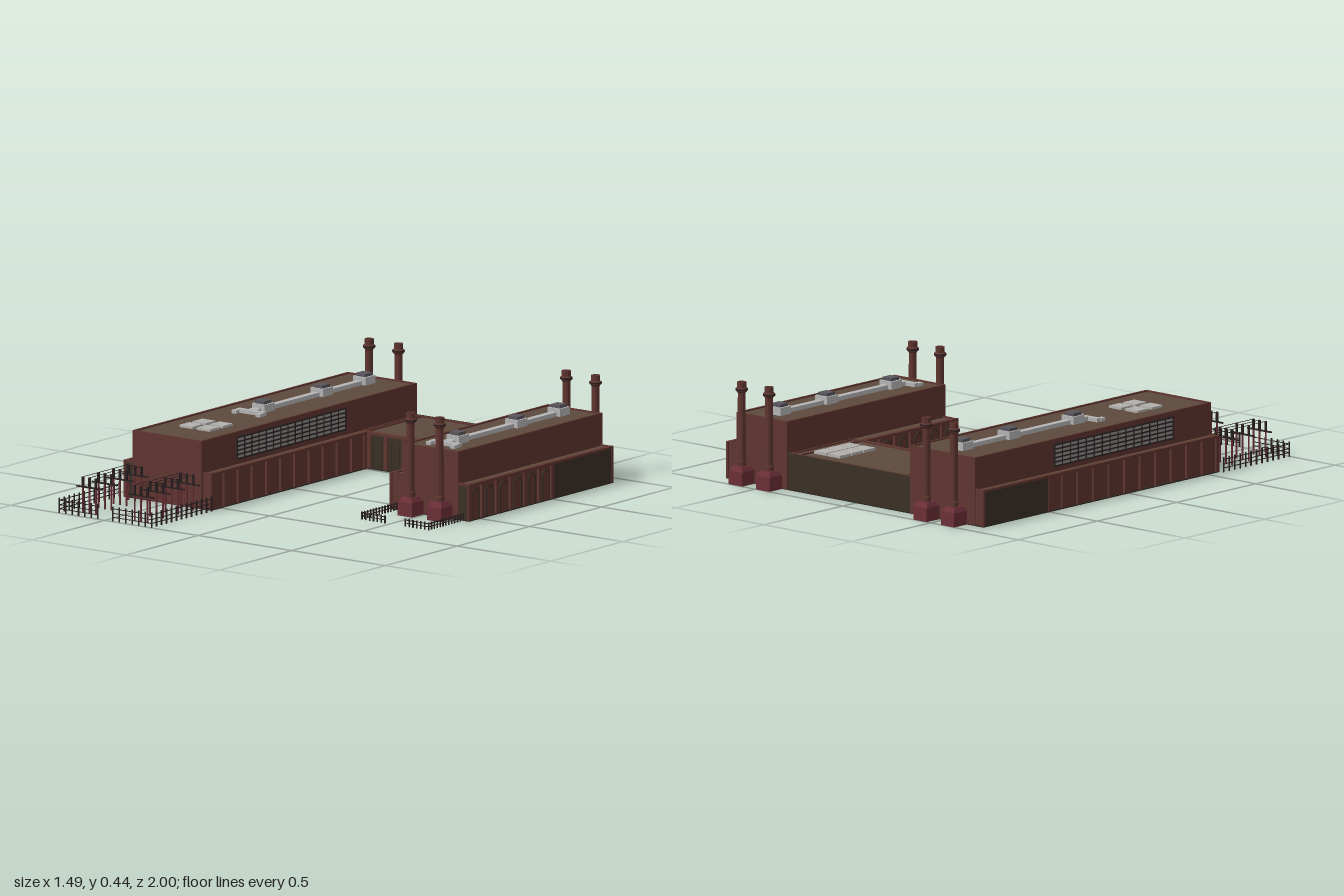
import * as THREE from 'three';

const mat = (color, extra = {}) => new THREE.MeshStandardMaterial({ color, ...extra });

export function createModel() {
  const brick = mat(0x5f352f), roofing = mat(0x5c4a3c), dark = mat(0x3a3026), plinthRed = mat(0x6b2f38);
  const grey = mat(0xb4b4b4), capGrey = mat(0x58555c), iron = mat(0x2b2022), under = mat(0x2c2520);
  const glass = mat(0x8c8a88), skylightGlass = mat(0xb2b0ac);
  const model = new THREE.Group();
  model.name = 'powerStation';

  const group = (name, parent = model) => {
    const g = new THREE.Group();
    g.name = name;
    parent.add(g);
    return g;
  };
  const add = (parent, name, geo, m, x = 0, y = 0, z = 0) => {
    const mesh = new THREE.Mesh(geo, m);
    mesh.name = name;
    mesh.position.set(x, y, z);
    parent.add(mesh);
    return mesh;
  };
  // box given by its extents
  const block = (parent, name, m, x0, x1, y0, y1, z0, z1) =>
    add(parent, name, new THREE.BoxGeometry(x1 - x0, y1 - y0, z1 - z0), m, (x0 + x1) / 2, (y0 + y1) / 2, (z0 + z1) / 2);

  // brick volume with a sunken roof inside a thin parapet
  function hall(name, x0, x1, y0, y1, z0, z1) {
    const g = group(name), t = 0.01, r = y1 - 0.006;
    block(g, 'walls', brick, x0, x1, y0, r - 0.002, z0, z1);
    block(g, 'roof', roofing, x0 + t, x1 - t, r - 0.002, r, z0 + t, z1 - t);
    block(g, 'parapet', brick, x0, x0 + t, r - 0.002, y1, z0, z1);
    block(g, 'parapet', brick, x1 - t, x1, r - 0.002, y1, z0, z1);
    block(g, 'parapet', brick, x0 + t, x1 - t, r - 0.002, y1, z0, z0 + t);
    block(g, 'parapet', brick, x0 + t, x1 - t, r - 0.002, y1, z1 - t, z1);
    return g;
  }
  hall('longWingBase', -0.72, -0.27, 0.003, 0.16, -0.915, 0.565);
  hall('longWingUpper', -0.68, -0.31, 0.003, 0.295, -0.92, 0.573);
  hall('shortWingBase', 0.325, 0.73, 0.003, 0.16, -0.915, 0.075);
  hall('shortWingUpper', 0.39, 0.68, 0.003, 0.295, -0.92, 0.08);
  hall('linkHall', -0.3, 0.38, 0.003, 0.16, -0.91, -0.52);
  const ground = group('foundation');
  block(ground, 'slab', under, -0.73, -0.26, 0, 0.004, -0.92, 0.57);
  block(ground, 'slab', under, 0.315, 0.74, 0, 0.004, -0.92, 0.08);
  block(ground, 'slab', under, -0.26, 0.315, 0, 0.004, -0.92, -0.51);

  // arched outline standing on the ground
  function archPath(Type, w, h) {
    const p = new Type();
    p.moveTo(-w / 2, 0);
    p.lineTo(w / 2, 0);
    p.lineTo(w / 2, h - w / 2);
    p.absarc(0, h - w / 2, w / 2, 0, Math.PI, false);
    p.closePath();
    return p;
  }
  const frameShape = archPath(THREE.Shape, 0.052, 0.132);
  frameShape.holes.push(archPath(THREE.Path, 0.04, 0.126));
  const frameGeo = new THREE.ExtrudeGeometry(frameShape, { depth: 0.006, bevelEnabled: false, curveSegments: 8 });
  const infillGeo = new THREE.ShapeGeometry(archPath(THREE.Shape, 0.041, 0.127), 8);

  // row of bays between pilasters; runs along local x and faces local z
  function bayWall(name, x, z, turn, length, count, { arches = false, panel = null } = {}) {
    const g = group(name), step = length / count;
    g.position.set(x, 0, z);
    g.rotation.y = turn;
    if (panel) block(g, 'panel', panel, 0, length, 0.004, 0.15, 0, 0.002);
    for (let i = 0; i <= count; i++) {
      const c = THREE.MathUtils.clamp(i * step, 0.009, length - 0.009);
      block(g, 'pilaster', brick, c - 0.009, c + 0.009, 0.002, 0.15, 0, 0.01);
      if (arches && i < count) {
        add(g, 'archFrame', frameGeo, dark, (i + 0.5) * step, 0.004, 0);
        add(g, 'archInfill', infillGeo, panel || brick, (i + 0.5) * step, 0.004, 0.003);
      }
    }
    block(g, 'cornice', brick, 0, length, 0.149, 0.16, 0, 0.01);
    return g;
  }
  const q = Math.PI / 2;
  bayWall('longWingInnerBays', -0.27, 0.57, q, 1.08, 11);
  bayWall('longWingOuterBays', -0.72, -0.51, -q, 1.08, 11);
  bayWall('shortWingOuterBays', 0.73, 0.08, q, 0.59, 6, { arches: true });
  bayWall('shortWingInnerBays', 0.325, -0.51, -q, 0.59, 6, { arches: true });
  bayWall('linkFrontBays', -0.26, -0.52, 0, 0.575, 6, { arches: true, panel: dark });

  // dark blank panels at the rear and on the aisle ends
  const blanks = group('blankPanels');
  for (const [x0, x1] of [[-0.728, -0.719], [0.729, 0.738]]) {
    block(blanks, 'sidePanel', dark, x0, x1, 0.004, 0.15, -0.91, -0.51);
    block(blanks, 'sideCornice', brick, x0 - 0.002, x1 + 0.002, 0.15, 0.16, -0.92, -0.51);
    block(blanks, 'sideCorner', brick, x0 - 0.002, x1 + 0.002, 0.003, 0.15, -0.92, -0.908);
  }
  block(blanks, 'rearPanel', dark, -0.31, 0.39, 0.004, 0.15, -0.916, -0.909);
  block(blanks, 'rearCornice', dark, -0.31, 0.39, 0.15, 0.16, -0.92, -0.909);
  block(blanks, 'aisleEnd', dark, -0.718, -0.682, 0.004, 0.15, 0.56, 0.568);
  block(blanks, 'aisleEnd', dark, 0.685, 0.728, 0.004, 0.15, 0.07, 0.078);

  // long strip windows on both sides of the long wing
  for (const [x, s] of [[-0.31, 1], [-0.68, -1]]) {
    const g = group('stripWindow');
    g.position.set(x, 0, -0.045);
    g.rotation.y = s * q;
    block(g, 'panes', glass, -0.375, 0.375, 0.178, 0.27, 0, 0.002);
    for (let i = 0; i <= 5; i++) block(g, 'glazingBar', iron, -0.378, 0.378, 0.175 + i * 0.0184, 0.181 + i * 0.0184, 0, 0.005);
    for (let i = 0; i <= 15; i++) block(g, 'mullion', iron, -0.377 + i * 0.05, -0.373 + i * 0.05, 0.176, 0.272, 0, 0.006);
  }

  // chimneys on chamfered plinths
  const plinthGeo = new THREE.CylinderGeometry(0.026 * Math.SQRT2, 0.038 * Math.SQRT2, 0.02, 4).rotateY(Math.PI / 4).toNonIndexed();
  plinthGeo.computeVertexNormals();
  const stackGeo = new THREE.LatheGeometry([
    [0.021, 0.06], [0.021, 0.1], [0.018, 0.105], [0.017, 0.395], [0.02, 0.4], [0.026, 0.405], [0.026, 0.414],
    [0.02, 0.42], [0.02, 0.443], [0.012, 0.443], [0.012, 0.4], [0, 0.4],
  ].map(([r, y]) => new THREE.Vector2(r, y)), 12).toNonIndexed();
  stackGeo.computeVertexNormals();
  const ringGeo = new THREE.CylinderGeometry(0.027, 0.027, 0.007, 12);
  for (const [x, z] of [[-0.597, -0.96], [-0.44, -0.96], [0.457, -0.96], [0.613, -0.96], [0.457, 0.12], [0.613, 0.12]]) {
    const g = group('chimney');
    g.position.set(x, 0, z);
    block(g, 'plinth', plinthRed, -0.038, 0.038, 0, 0.06, -0.04, 0.04);
    add(g, 'plinthTop', plinthGeo, plinthRed, 0, 0.07, 0);
    add(g, 'stack', stackGeo, brick);
    add(g, 'collar', ringGeo, iron, 0, 0.411, 0);
  }

  // roof ducts with vent boxes and a forked end
  for (const x of [-0.5, 0.54]) {
    const g = group('roofDuct');
    g.position.set(x, 0.289, 0);
    block(g, 'duct', grey, -0.015, 0.015, 0, 0.018, -0.8, -0.03);
    block(g, 'crossDuct', grey, -0.073, 0.073, 0, 0.016, -0.03, -0.005);
    for (const s of [-1, 1]) block(g, 'outlet', grey, s * 0.064 - 0.012, s * 0.064 + 0.012, 0, 0.014, -0.006, 0.022);
    block(g, 'junction', grey, -0.022, 0.022, 0, 0.018, -0.055, -0.03);
    for (const z of [-0.8, -0.505, -0.1]) {
      block(g, 'ventBox', grey, -0.034, 0.034, 0, 0.034, z - 0.034, z + 0.034);
      block(g, 'ventCap', capGrey, -0.025, 0.025, 0.034, 0.047, z - 0.025, z + 0.025);
    }
  }

  // skylights
  function skylight(xs, zs, y) {
    const g = group('skylight');
    for (const x of xs) for (const z of zs) block(g, 'pane', skylightGlass, x - 0.035, x + 0.035, y, y + 0.013, z - 0.035, z + 0.035);
  }
  skylight([-0.543, -0.45], [0.255, 0.345], 0.286);
  skylight([0.202, 0.28], [-0.798, -0.722, -0.645], 0.153);

  // railing along a polyline of [x, z] corners
  function fence(points, height, spacing, rails) {
    const g = group('fence'), t = 0.0015;
    for (let i = 0; i + 1 < points.length; i++) {
      const a = new THREE.Vector2(...points[i]), b = new THREE.Vector2(...points[i + 1]);
      const run = group('fenceRun', g), len = a.distanceTo(b), n = Math.round(len / spacing);
      run.position.set(a.x, 0, a.y);
      run.rotation.y = -Math.atan2(b.y - a.y, b.x - a.x);
      for (let k = 0; k <= n; k++) {
        const c = k * len / n;
        block(run, 'post', iron, c - 0.0025, c + 0.0025, 0, height, -0.0025, 0.0025);
      }
      for (const y of rails) block(run, 'rail', iron, 0, len, y - t, y + t, -t, t);
    }
  }
  const tall = [0.018, 0.035, 0.055], low = [0.015, 0.028];
  fence([[-0.745, 0.58], [-0.745, 0.995], [-0.54, 0.995]], 0.065, 0.035, tall);
  fence([[-0.252, 0.58], [-0.252, 0.995], [-0.46, 0.995]], 0.065, 0.035, tall);
  fence([[0.352, 0.08], [0.352, 0.32], [0.475, 0.32]], 0.034, 0.02, low);
  fence([[0.708, 0.08], [0.708, 0.32], [0.583, 0.32]], 0.034, 0.02, low);

  // switchyard: rows of poles with crossbars and overhead wires
  const poleGeo = new THREE.CylinderGeometry(0.004, 0.004, 0.155, 6);
  const insulatorGeo = new THREE.CylinderGeometry(0.006, 0.006, 0.04, 6);
  for (const [cx, xs] of [[-0.638, [-0.673, -0.638, -0.604]], [-0.362, [-0.396, -0.362, -0.328]]]) {
    const g = group('switchyard');
    for (const z of [0.608, 0.713, 0.818, 0.925]) {
      block(g, 'crossbar', iron, cx - 0.068, cx + 0.068, 0.108, 0.114, z - 0.004, z + 0.004);
      for (const x of xs) {
        add(g, 'pole', poleGeo, plinthRed, x, 0.0775, z);
        add(g, 'insulator', insulatorGeo, iron, x, 0.134, z);
      }
    }
    for (const x of xs) block(g, 'wire', iron, x - 0.001, x + 0.001, 0.153, 0.155, 0.608, 0.925);
  }
  return model;
}
